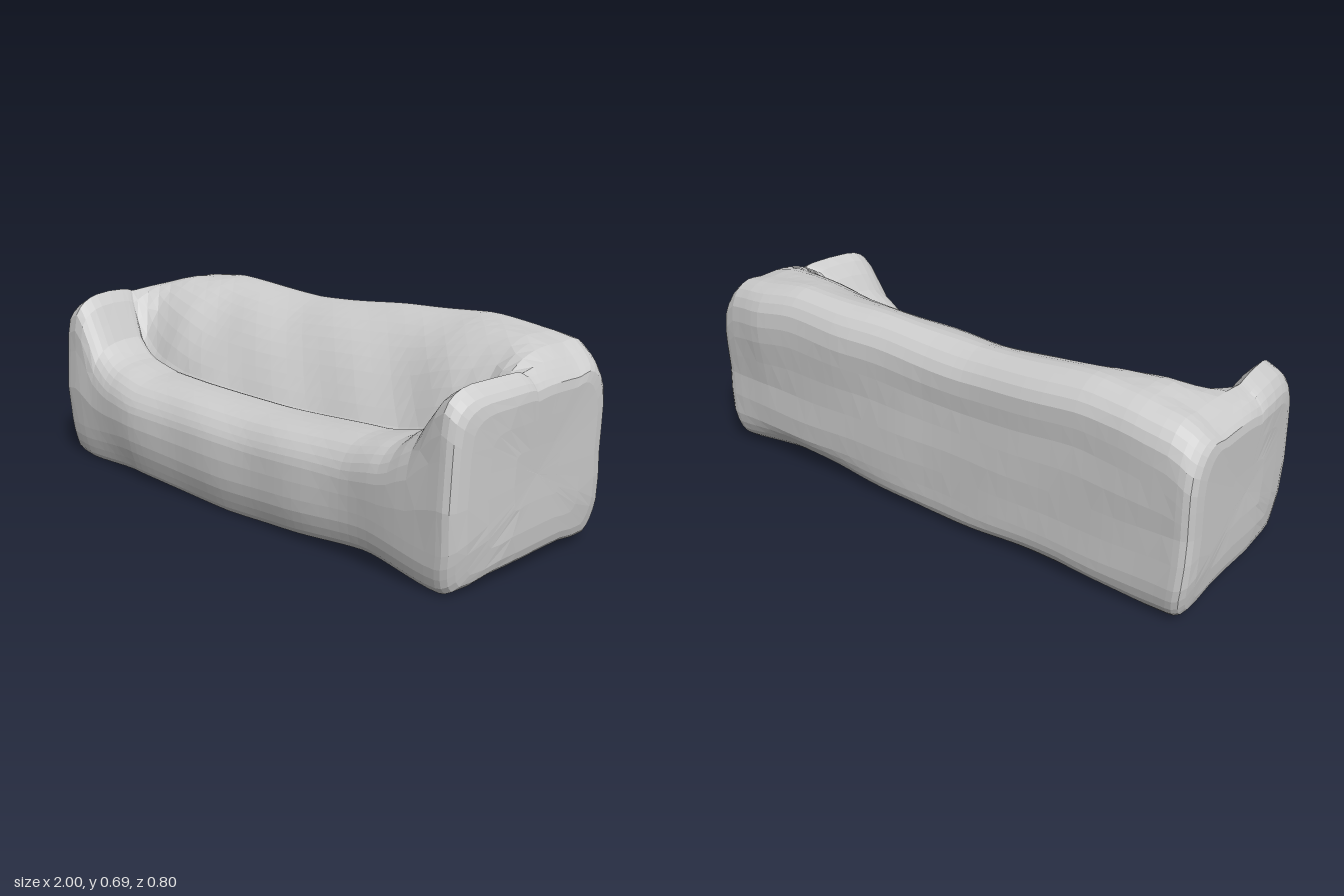
import * as THREE from 'three';

const { lerp, smoothstep } = THREE.MathUtils;

// Softened lookup in a short list of [x, value] pairs
function lookup(keys, x) {
  if (x <= keys[0][0]) return keys[0][1];
  for (let i = 1; i < keys.length; i++) {
    const [x0, v0] = keys[i - 1], [x1, v1] = keys[i];
    if (x <= x1) return lerp(v0, v1, smoothstep(x, x0, x1) * 0.5 + 0.5 * (x - x0) / (x1 - x0));
  }
  return keys[keys.length - 1][1];
}

// Outline measures along the length of the sofa
const seatHeight = [[-1, 0.58], [-0.96, 0.61], [-0.91, 0.635], [-0.88, 0.615], [-0.84, 0.54], [-0.77, 0.44], [-0.68, 0.4],
  [-0.5, 0.375], [0.1, 0.365], [0.55, 0.385], [0.72, 0.415], [0.82, 0.48], [0.9, 0.59], [0.94, 0.62], [1, 0.59]];
const backHeight = [[-0.98, 0.6], [-0.94, 0.625], [-0.89, 0.648], [-0.75, 0.67], [-0.6, 0.68], [-0.15, 0.652], [0.3, 0.68],
  [0.6, 0.695], [0.83, 0.672], [0.91, 0.66], [0.945, 0.63], [0.98, 0.6]];
const frontDepth = [[-1, 0.36], [-0.85, 0.37], [-0.5, 0.395], [0.2, 0.375], [0.6, 0.36], [1, 0.365]];
const backDepth = [[-1, -0.37], [0, -0.36], [0.4, -0.385], [0.75, -0.4], [0.9, -0.385], [1, -0.37]];
const creaseDepth = [[-0.96, 0.05], [-0.85, 0.1], [-0.6, 0.14], [-0.3, 0.155], [0.3, 0.14], [0.7, 0.13], [0.88, 0.09], [0.96, 0.02]];
const underside = [[-0.96, 0.005], [-0.85, 0.0], [-0.55, 0.025], [0, 0.005], [0.3, 0.018], [0.65, 0.045], [0.93, 0.006], [1, 0.012]];

// Closed cross-section (z, y): up the front, over the seat, up the backrest, down the back
function section(x) {
  const s = lookup(seatHeight, x), h = lookup(backHeight, x), f = lookup(frontDepth, x);
  const k = lookup(backDepth, x), c = lookup(creaseDepth, x), b = lookup(underside, x);
  const arm = smoothstep(s, 0.38, 0.6); // 0 on the seat, 1 at the arms
  const full = smoothstep(Math.abs(x), 0.4, 0.88); // the backrest swells where it wraps to the arms
  const low = s - lerp(0.035, 0.01, arm); // bottom of the crease
  const topZ = k + 0.16;
  const cushion = (t, lift, fullLift) => [lerp(c - 0.015, topZ, t), lerp(low, h - 0.008, lerp(lift, fullLift, full))];
  const pts = [
    [f - 0.04, b], [f - 0.014, b + 0.05], [f, b + 0.13], [f - 0.001, s * 0.64 + 0.02],
    [f - 0.018, s - 0.07], [f - 0.058, s - 0.026], [f - 0.12, s - 0.005],
    [c + 0.045, s], [c + 0.008, s - 0.006], [c, low],
    cushion(0.1, 0.2, 0.35), cushion(0.3, 0.48, 0.72), cushion(0.52, 0.72, 0.94),
    cushion(0.76, 0.9, 1.05), cushion(1, 1, 1.04),
    [k + 0.1, h], [k + 0.045, h - 0.025], [k + 0.008, h - 0.085],
    [k + 0.005, h - 0.2], [k * 0.5 - 0.18, 0.3], [k * 0.3 - 0.255, 0.13],
    [-0.355, b + 0.05], [-0.325, b + 0.012],
    [-0.18, b + 0.024], [0, b + 0.022], [0.18, b + 0.018],
  ];
  const curve = new THREE.CatmullRomCurve3(pts.map(([z, y]) => new THREE.Vector3(0, y, z)), true, 'centripetal');
  return curve.getPoints(pts.length * 2).slice(0, -1);
}

// Ring positions: [x, scale about the middle]; the end rings close the rounded arms
function ringList() {
  const end = [[0.965, 0.995], [0.983, 0.97], [0.995, 0.92], [1, 0.82], [0.998, 0.6], [0.995, 0.3], [0.993, 0]];
  const rings = end.map(([x, s]) => [-x, s]).reverse();
  const n = 48;
  for (let i = 0; i <= n; i++) rings.push([-0.945 + 1.89 * i / n, 1]);
  return rings.concat(end);
}

function sofaGeometry() {
  const rings = ringList(), pos = [], index = [];
  let count = 0;
  rings.forEach(([x, s]) => {
    const ring = section(x);
    count = ring.length;
    for (const p of ring) {
      // Gentle lumps in the cover
      const lump = 0.005 * Math.sin(9 * x + 14 * p.y) * Math.sin(17 * p.z - 6 * x + 8 * p.y);
      const y = 0.31 + (p.y - 0.31) * s, z = p.z * s;
      // The ends draw in towards the floor and the front corners
      const taper = 0.018 * smoothstep(0.2 - y, 0, 0.2) + 0.028 * smoothstep(z, 0.08, 0.38);
      pos.push(x * (1 - taper), Math.max(0, y + lump * 0.5), z + lump);
    }
  });
  for (let i = 0; i < rings.length - 1; i++) {
    for (let j = 0; j < count; j++) {
      const a = i * count + j, b = i * count + (j + 1) % count;
      const c = a + count, d = b + count;
      if ((i + j) % 2) index.push(a, c, b, b, c, d);
      else index.push(a, c, d, a, d, b);
    }
  }
  const g = new THREE.BufferGeometry();
  g.setAttribute('position', new THREE.Float32BufferAttribute(pos, 3));
  g.setIndex(index);
  g.computeVertexNormals();
  return g;
}

export function createModel() {
  const group = new THREE.Group();
  group.name = 'sofa';
  const material = new THREE.MeshStandardMaterial({ color: 0xcccccc, flatShading: true });
  const body = new THREE.Mesh(sofaGeometry(), material);
  body.name = 'upholsteredBody';
  group.add(body);
  return group;
}
